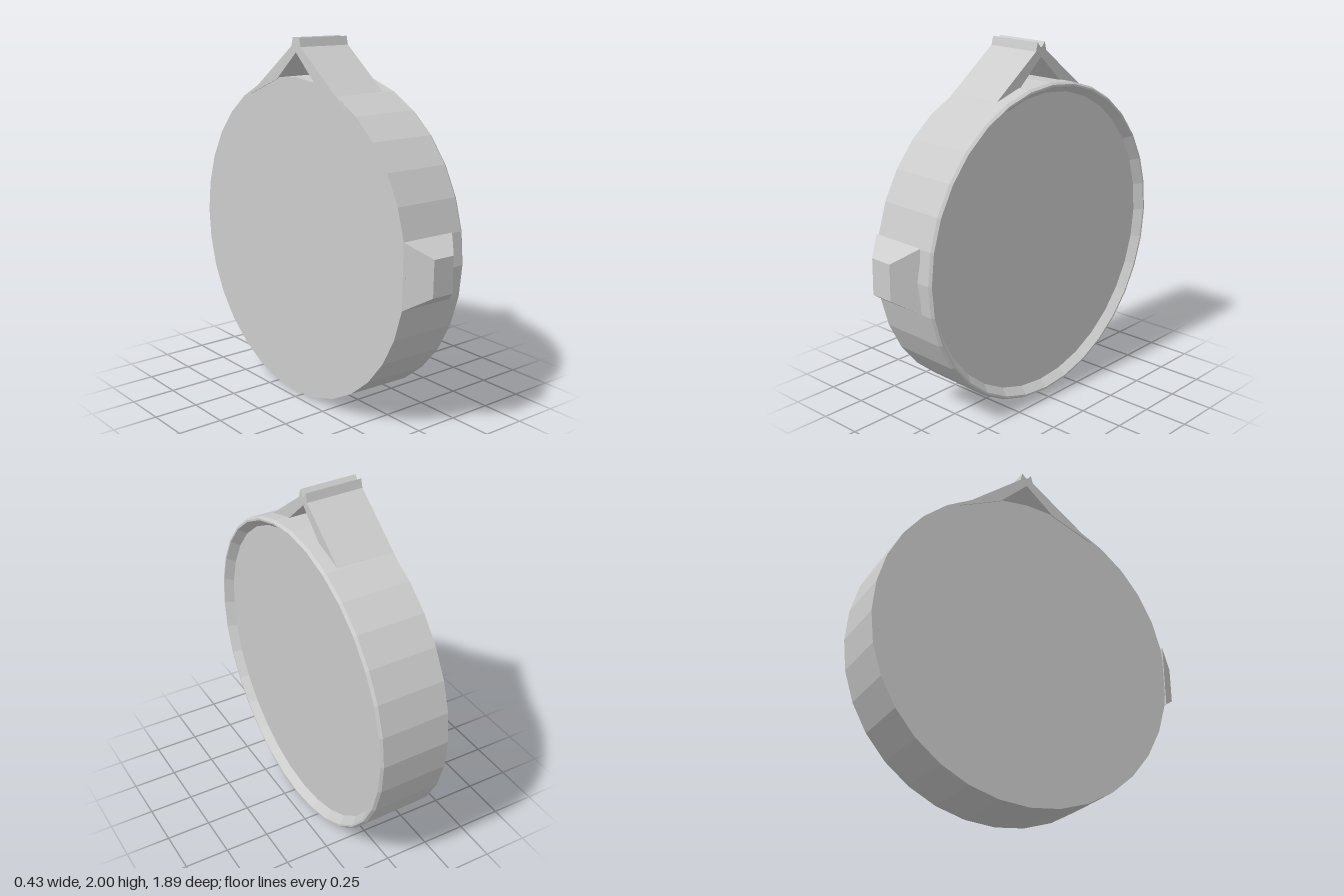
import * as THREE from 'three';

const grey = new THREE.MeshStandardMaterial({ color: 0xcccccc, flatShading: true, side: THREE.DoubleSide });

function add(parent, name, geometry) {
  const mesh = new THREE.Mesh(geometry, grey);
  mesh.name = name;
  parent.add(mesh);
  return mesh;
}

const points = (list) => list.map(([a, b]) => new THREE.Vector2(a, b));

export function createModel() {
  const model = new THREE.Group();
  model.name = 'roundCase';

  // Everything is laid out around the drum's centre, which leans very slightly
  const drum = new THREE.Group();
  drum.name = 'drum';
  drum.position.set(0, 0.9, -0.05);
  drum.rotation.z = -0.015;
  model.add(drum);

  // Drum: flat back, thin bevelled rim and a shallow dished face
  const body = add(drum, 'body', new THREE.LatheGeometry(points([
    [0, -0.2], [0.89, -0.2], [0.893, 0.185], [0.882, 0.2],
    [0.872, 0.2], [0.836, 0.155], [0, 0.155],
  ]), 32));
  body.rotation.z = -Math.PI / 2;

  // Hanging loop: two sloping legs meeting in a notched ridge, open underneath
  const outline = new THREE.Shape(points([
    [0.42, 0.76], [0.35, 0.815], [0.04, 1.05], [0.028, 1.097], [0.005, 1.07],
    [-0.005, 1.07], [-0.028, 1.097], [-0.04, 1.05], [-0.35, 0.815], [-0.42, 0.76],
    [-0.17, 0.865], [0, 1.02], [0.17, 0.865],
  ]));
  const loop = add(drum, 'hangingLoop', new THREE.ExtrudeGeometry(outline, { depth: 0.32, bevelEnabled: false }));
  loop.rotation.y = -Math.PI / 2;
  loop.position.x = 0.115;

  // Front knob: a box narrowed toward its tip
  const knobShape = new THREE.BoxGeometry(0.325, 0.35, 0.17);
  const p = knobShape.attributes.position;
  for (let i = 0; i < p.count; i++) {
    if (p.getZ(i) > 0) p.setXY(i, p.getX(i) * 0.4, p.getY(i) * 0.56);
    else p.setZ(i, 0.085 - 0.115);
  }
  knobShape.computeVertexNormals();
  const knob = add(drum, 'knob', knobShape);
  knob.position.set(-0.045, 0.005, 0.91);

  return model;
}
